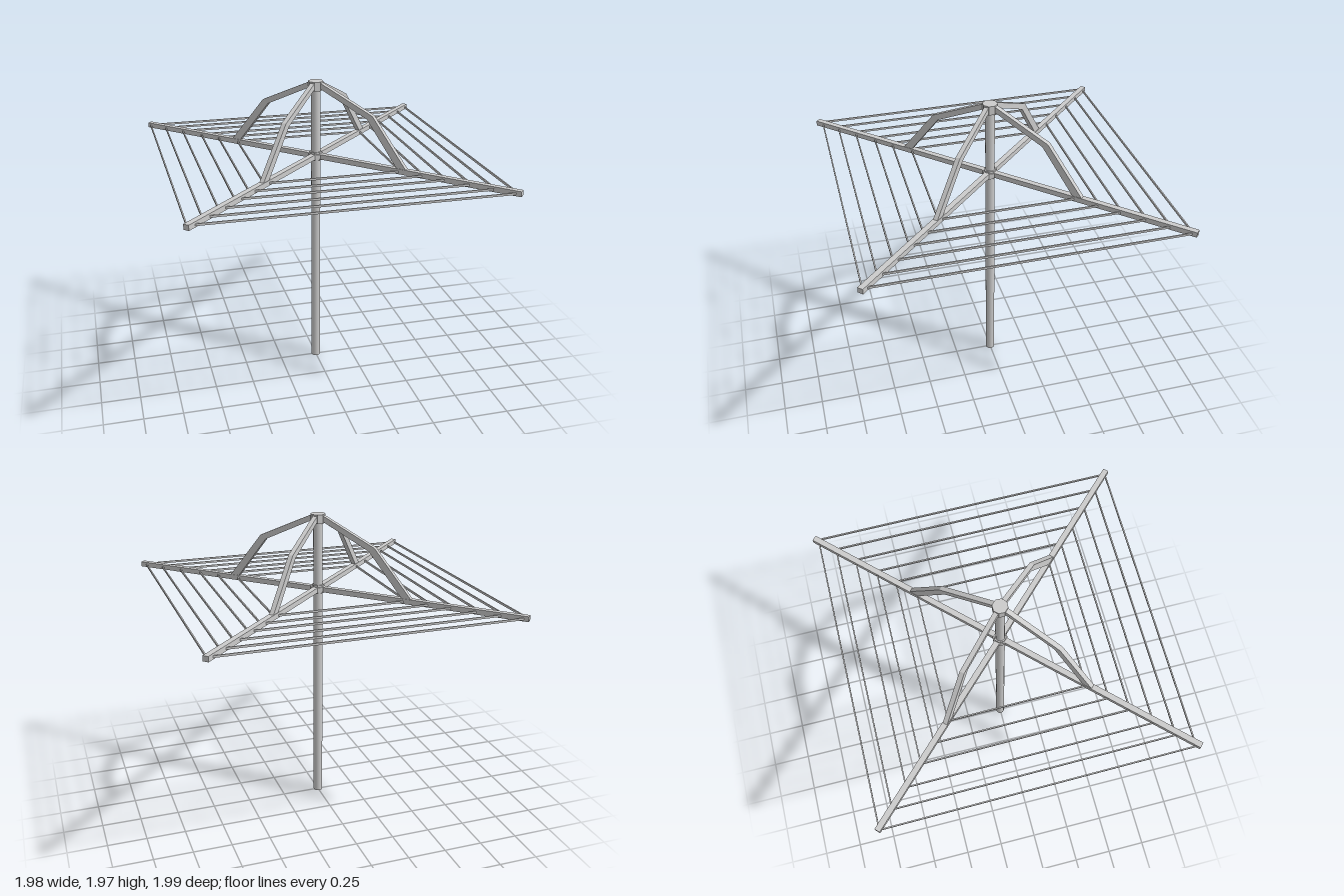
import * as THREE from 'three';

const flat = new THREE.MeshStandardMaterial({ color: 0xcccccc, flatShading: true });
const smooth = new THREE.MeshStandardMaterial({ color: 0xcccccc });
const ARM_Y = 1.479;
// Per arm, in order round the pole: tip [x, z], outermost line corner [x, z]
// and the sideways bow of the brace
const ARMS = [
  { tip: [0.978, 0.974], corner: [0.958, 0.961], bow: -0.014 },
  { tip: [-0.962, 0.983], corner: [-0.955, 0.953], bow: -0.01 },
  { tip: [-0.976, -0.978], corner: [-0.972, -0.966], bow: 0.016 },
  { tip: [0.962, -0.985], corner: [0.951, -0.961], bow: -0.008 },
];
// Size of each square of line relative to the outermost
const LINES = [1, 0.9, 0.79, 0.672, 0.565, 0.449];

function add(parent, name, geometry, x = 0, y = 0, z = 0, material = flat) {
  const mesh = new THREE.Mesh(geometry, material);
  mesh.name = name;
  mesh.position.set(x, y, z);
  parent.add(mesh);
  return mesh;
}

// Eight-sided upright prism with flats facing the axes
function octagon(parent, name, radius, y0, y1) {
  const g = new THREE.CylinderGeometry(radius, radius, y1 - y0, 8);
  g.rotateY(Math.PI / 8);
  add(parent, name, g, 0, (y0 + y1) / 2, 0);
}

// Bent brace from the top hub down to the arm, drawn in the arm's own plane
function braceGeometry(bow) {
  const width = 0.03;
  const outline = [
    [0.03, 1.967], [0.402, 1.797], [0.652, 1.487],
    [0.59, 1.487], [0.365, 1.772], [0.03, 1.93],
  ].map(([r, y]) => new THREE.Vector2(r, y));
  const g = new THREE.ExtrudeGeometry(new THREE.Shape(outline), { depth: width, bevelEnabled: false });
  g.translate(0, 0, -width / 2);
  // Push the elbow slightly to one side
  const p = g.attributes.position;
  for (let i = 0; i < p.count; i++) {
    const r = p.getX(i);
    if (r > 0.3 && r < 0.5) p.setZ(i, p.getZ(i) + bow);
  }
  g.computeVertexNormals();
  return g;
}

// Thin upright strip of line between two level points [x, z]
function cord(parent, [ax, az], [bx, bz]) {
  const g = new THREE.BoxGeometry(Math.hypot(bx - ax, bz - az), 0.013, 0.008);
  const mesh = add(parent, 'line', g, (ax + bx) / 2, ARM_Y - 0.002, (az + bz) / 2);
  mesh.rotation.y = -Math.atan2(bz - az, bx - ax);
}

export function createModel() {
  const model = new THREE.Group();
  model.name = 'rotaryClothesline';

  // Pole, top hub and arm collar
  add(model, 'pole', new THREE.CylinderGeometry(0.03, 0.03, 1.95, 16), 0, 0.975, 0, smooth);
  octagon(model, 'topHub', 0.048, 1.912, 1.97);
  octagon(model, 'armCollar', 0.048, 1.465, 1.495);
  octagon(model, 'collarSleeve', 0.04, 1.452, 1.508);

  // Four arms, each with its brace
  for (const { tip, bow } of ARMS) {
    const length = Math.hypot(...tip);
    const group = new THREE.Group();
    group.name = 'armAssembly';
    group.rotation.y = -Math.atan2(tip[1], tip[0]);
    add(group, 'arm', new THREE.BoxGeometry(length, 0.033, 0.036), length / 2, ARM_Y, 0);
    add(group, 'brace', braceGeometry(bow));
    model.add(group);
  }

  // Six square runs of line strung between neighbouring arms
  const lines = new THREE.Group();
  lines.name = 'lines';
  for (const t of LINES) {
    const pts = ARMS.map(({ corner }) => corner.map((c) => c * t));
    pts.forEach((p, i) => cord(lines, p, pts[(i + 1) % 4]));
  }
  model.add(lines);

  return model;
}
